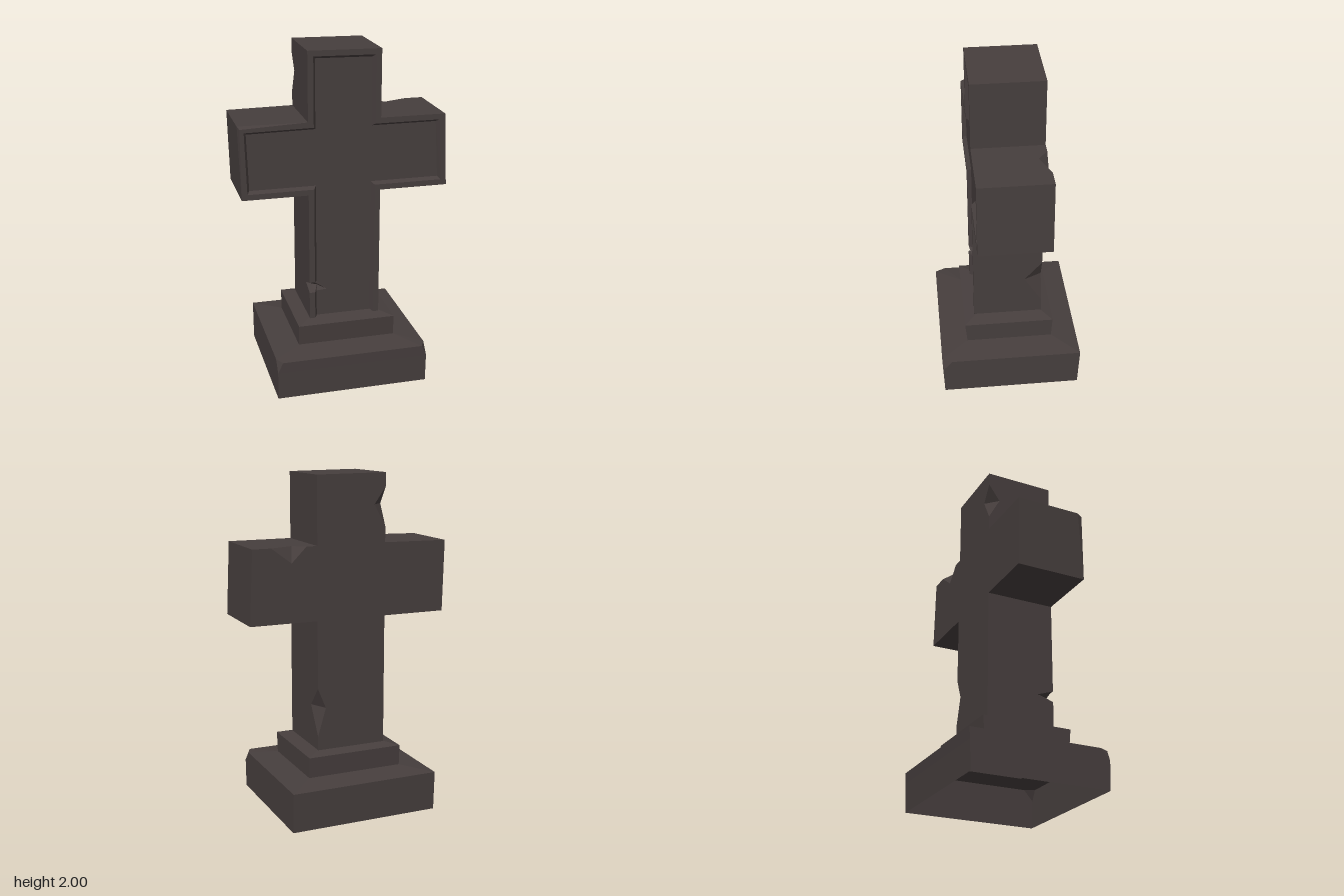
import * as THREE from 'three';

const stone = new THREE.MeshStandardMaterial({ color: 0x463e3d, side: THREE.DoubleSide });
stone.name = 'dark stone';

const FRONT = 0.21, BACK = -0.205, RIM = 0.033, SLOPE = 0.015, DEPTH = 0.025;

// Collects flat triangles and turns them into a mesh
function builder() {
  const pos = [];
  const same = (a, b) => a.every((v, i) => Math.abs(v - b[i]) < 1e-6);
  const tri = (a, b, c) => {
    if (!same(a, b) && !same(b, c) && !same(a, c)) pos.push(...a, ...b, ...c);
  };
  return {
    tri,
    quad(a, b, c, d) { tri(a, b, c); tri(a, c, d); },
    // Polygon facing +z, or -z when flipped
    polygon(pts, flip) {
      const flat = pts.map(p => new THREE.Vector2(p[0], p[1]));
      for (const [a, b, c] of THREE.ShapeUtils.triangulateShape(flat, [])) {
        if (flip) tri(pts[a], pts[c], pts[b]); else tri(pts[a], pts[b], pts[c]);
      }
    },
    mesh(name) {
      const g = new THREE.BufferGeometry();
      g.setAttribute('position', new THREE.Float32BufferAttribute(pos, 3));
      g.computeVertexNormals();
      const m = new THREE.Mesh(g, stone);
      m.name = name;
      return m;
    },
  };
}

// One point of the cross outline: section from back edge to recess floor
function station(x, y, sx, sy, changes = {}) {
  const i = RIM, j = RIM + SLOPE;
  return {
    back: [x, y, BACK], sideBack: [x, y, BACK],
    sideFront: [x, y, FRONT], front: [x, y, FRONT],
    rim: [x + sx * i, y + sy * i, FRONT],
    floor: [x + sx * j, y + sy * j, FRONT - DEPTH],
    ...changes,
  };
}

function createCross() {
  const b = builder();
  const L = -0.22, R = 0.205;
  const outline = [
    station(L, 0.38, 1, 0),
    station(R, 0.38, -1, 0),
    // chip in the rear edge of the shaft
    station(R, 0.48, -1, 0),
    station(R, 0.65, -1, 0, { back: [R - 0.05, 0.65, BACK], sideBack: [R, 0.65, -0.1] }),
    station(R, 0.77, -1, 0),
    station(R, 1.17, -1, 1),
    station(0.61, 1.17, -1, 1),
    station(0.59, 1.6, -1, -1, { }),
    // chip in the rear top edge of the arm
    station(0.48, 1.6, 0, -1),
    station(0.34, 1.6, 0, -1, { back: [0.36, 1.51, BACK], sideBack: [0.34, 1.6, -0.15] }),
    station(0.27, 1.6, 0, -1),
    station(R, 1.6, -1, -1),
    station(R, 1.995, -1, -1),
    station(L, 2, 1, -1),
    // chip in the rear edge of the head
    station(L, 1.92, 1, 0),
    station(L, 1.82, 1, 0, { back: [L + 0.07, 1.82, BACK], sideBack: [L, 1.82, BACK + 0.07] }),
    station(L, 1.69, 1, 0),
    station(L, 1.6, 1, -1),
    // worn front corner of the arm
    station(-0.615, 1.595, 1, -1, { sideFront: [-0.615, 1.595, 0.18], front: [-0.605, 1.583, FRONT] }),
    station(-0.605, 1.17, 1, 1),
    station(L, 1.17, 1, 1),
    // chip through the front rim into the recess
    station(L, 0.625, 1, 0),
    station(L, 0.59, 1, 0, {
      sideFront: [L, 0.59, 0.11], front: [-0.195, 0.595, 0.15],
      rim: [-0.165, 0.59, 0.165], floor: [-0.11, 0.565, FRONT - DEPTH],
    }),
    station(L, 0.56, 1, 0),
  ];
  const rows = ['back', 'sideBack', 'sideFront', 'front', 'rim', 'floor'];
  outline.forEach((s, i) => {
    if (i === 0) return; // the foot stays open
    const t = outline[(i + 1) % outline.length];
    for (let k = 0; k < rows.length - 1; k++) {
      b.quad(s[rows[k]], t[rows[k]], t[rows[k + 1]], s[rows[k + 1]]);
    }
  });
  b.polygon(outline.map(s => s.floor), false);
  b.polygon(outline.map(s => s.back), true);
  return b.mesh('cross');
}

// Rectangular ring with two points per corner; cut chamfers the front corners
function ring(x0, x1, z0, z1, y, cut = 0) {
  const c = cut * 0.5;
  return [
    [x0, y, z1 - cut], [x0 + c, y, z1],
    [x1 - c, y, z1], [x1, y, z1 - cut],
    [x1, y, z0], [x1, y, z0],
    [x0, y, z0], [x0, y, z0],
  ];
}

// Hollow open-bottomed tier: walls and sloping ledge
function createTier(name, rings) {
  const b = builder();
  for (let k = 0; k < rings.length - 1; k++) {
    const lo = rings[k], up = rings[k + 1];
    lo.forEach((p, i) => {
      const j = (i + 1) % lo.length;
      b.quad(p, lo[j], up[j], up[i]);
    });
  }
  return b.mesh(name);
}

export function createModel() {
  const model = new THREE.Group();
  model.name = 'stone cross';
  model.add(
    createTier('plinth', [
      ring(-0.46, 0.445, -0.41, 0.415, 0),
      ring(-0.46, 0.445, -0.417, 0.422, 0.17),
      ring(-0.46, 0.445, -0.42, 0.425, 0.235, 0.06),
      ring(-0.3, 0.285, -0.26, 0.26, 0.255),
    ]),
    createTier('step', [
      ring(-0.3, 0.285, -0.26, 0.26, 0.25),
      ring(-0.3, 0.285, -0.268, 0.272, 0.378),
      ring(-0.2, 0.185, -0.185, 0.18, 0.402),
    ]),
    createCross(),
  );
  return model;
}
